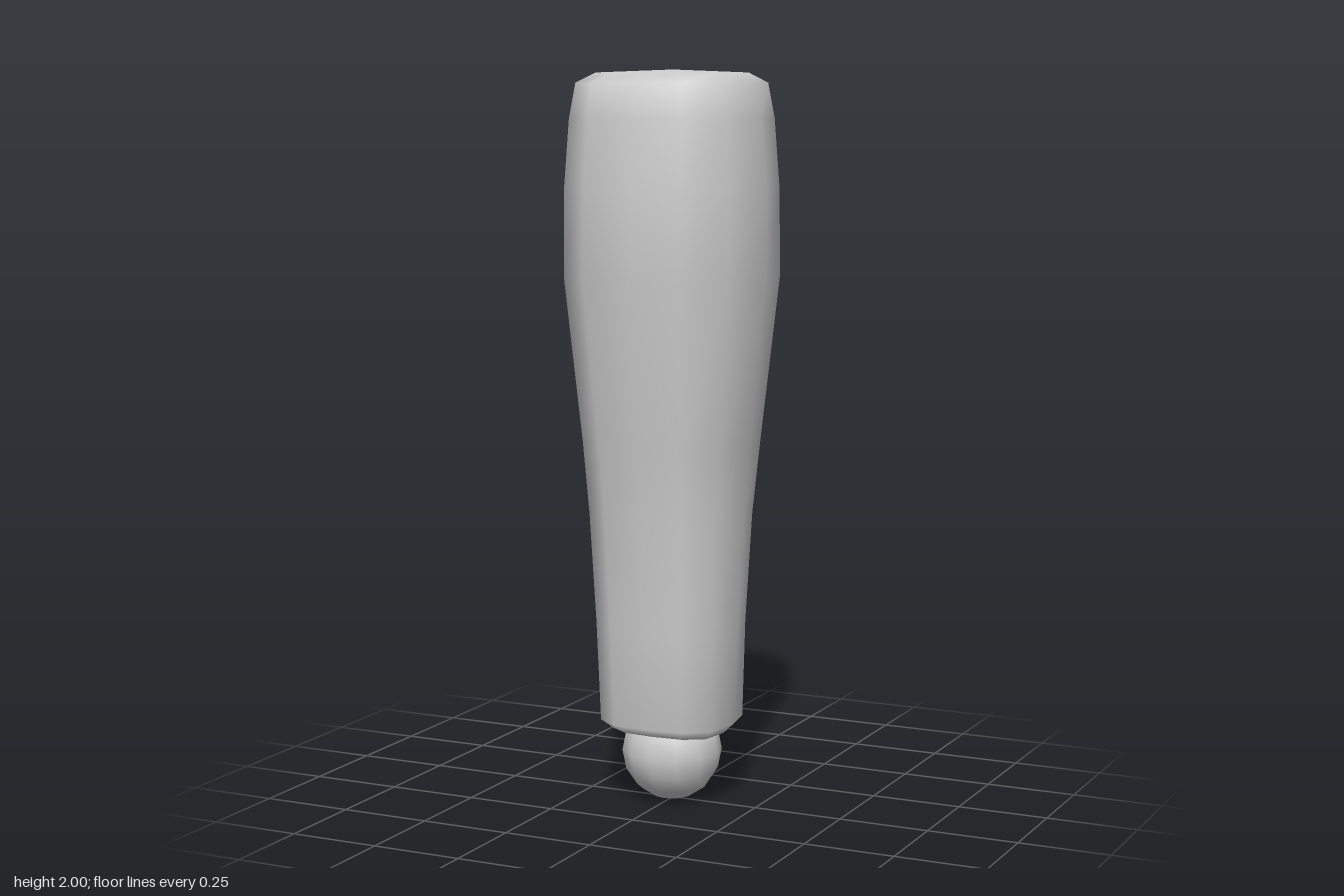
import * as THREE from 'three';

// Twelve-sided rounded cross-section, from +z round through +x
const quarter = [[0, 1], [0.51, 0.92], [0.88, 0.6]];
const squarer = [[0, 1], [0.6, 0.96], [0.93, 0.72]];

function section(t) {
  const q = quarter.map(([x, z], i) => [x + (squarer[i][0] - x) * t, z + (squarer[i][1] - z) * t]);
  const right = [...q, [1, 0], ...q.slice(1).reverse().map(([x, z]) => [x, -z])];
  return [...right, [0, -1], ...right.slice(1).reverse().map(([x, z]) => [-x, z])];
}

// Skins stacked sections [y, half width, front z, back z, squareness] and closes both ends
function loft(rows, bottomY, topY) {
  const n = 12, pos = [], index = [];
  for (const [y, w, front, back, t] of rows) {
    for (const [x, z] of section(t)) pos.push(x * w, y, z > 0 ? z * front : z * back);
  }
  for (let i = 0; i < rows.length - 1; i++) {
    for (let j = 0; j < n; j++) {
      const a = i * n + j, b = i * n + (j + 1) % n;
      index.push(a, b, b + n, a, b + n, a + n);
    }
  }
  const low = pos.length / 3, high = low + 1, last = (rows.length - 1) * n;
  pos.push(0, bottomY, 0, 0, topY, 0);
  for (let j = 0; j < n; j++) {
    const k = (j + 1) % n;
    index.push(low, k, j, high, last + j, last + k);
  }
  const g = new THREE.BufferGeometry();
  g.setAttribute('position', new THREE.Float32BufferAttribute(pos, 3));
  g.setIndex(index);
  g.computeVertexNormals();
  return g;
}

export function createModel() {
  const group = new THREE.Group();
  const grey = new THREE.MeshStandardMaterial({ color: 0xcccccc });
  grey.name = 'light grey';

  // Tapered limb, fuller at the top and hollowed behind
  const limb = new THREE.Mesh(loft([
    [0.19, 0.12, 0.09, 0.08, 0.6],
    [0.2, 0.155, 0.125, 0.115, 0.6],
    [0.228, 0.184, 0.166, 0.15, 0.5],
    [0.5, 0.195, 0.18, 0.15, 0.4],
    [0.8, 0.212, 0.2, 0.172, 0.3],
    [1.0, 0.23, 0.222, 0.21, 0.15],
    [1.45, 0.276, 0.281, 0.282, 0],
    [1.69, 0.276, 0.273, 0.267, 0],
    [1.87, 0.257, 0.25, 0.245, 0.3],
    [1.965, 0.237, 0.228, 0.222, 0.5],
    [1.992, 0.193, 0.155, 0.15, 0.7],
  ], 0.185, 2), grey);
  limb.name = 'limb';
  group.add(limb);

  // Ball joint half sunk into the lower end
  const ball = new THREE.Mesh(new THREE.SphereGeometry(0.138, 12, 8), grey);
  ball.name = 'ballJoint';
  ball.position.set(0, 0.138, 0.003);
  group.add(ball);

  return group;
}
